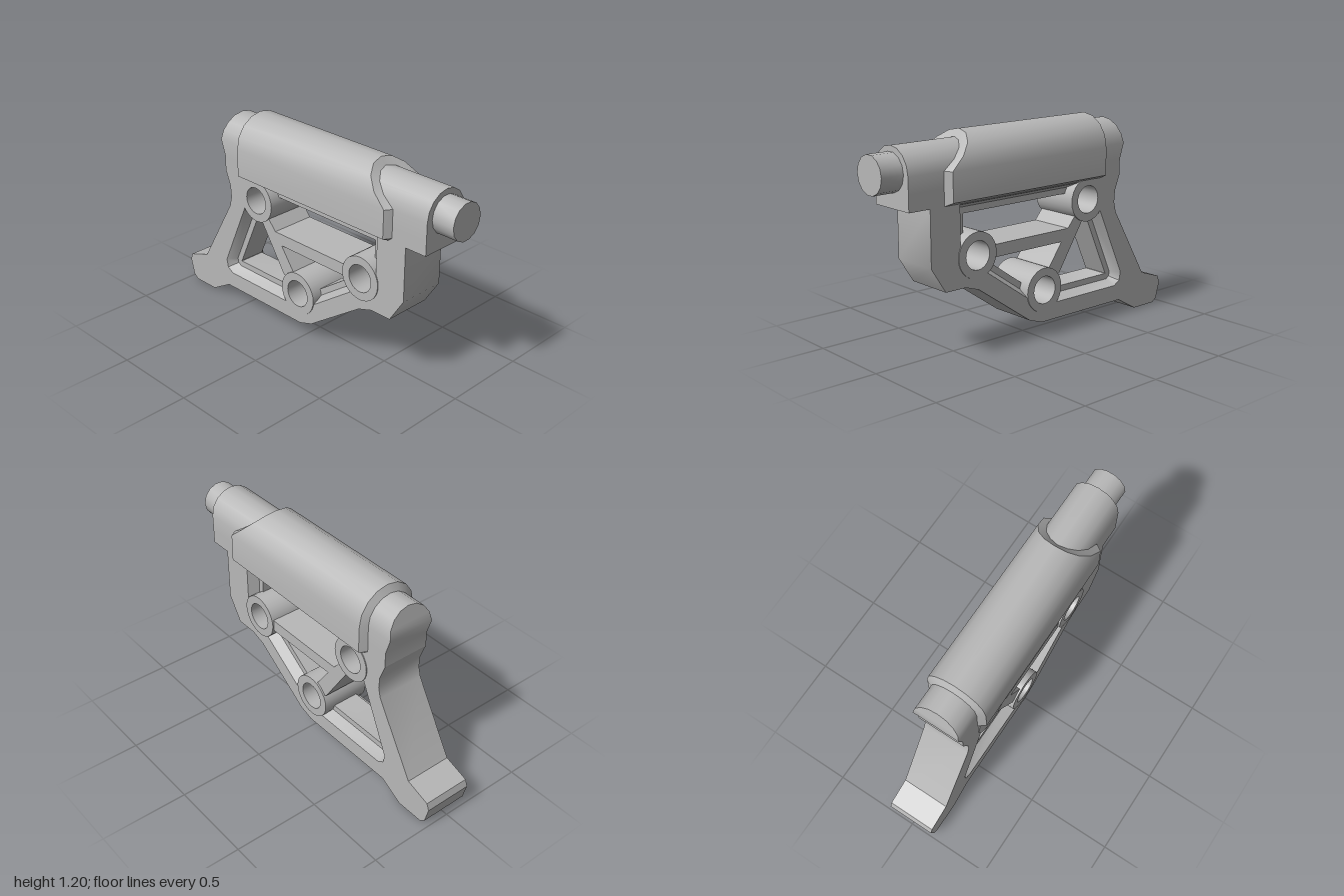
import * as THREE from 'three';
import { toCreasedNormals } from 'three/addons/utils/BufferGeometryUtils.js';

const grey = new THREE.MeshStandardMaterial({ color: 0xb8b8b8, side: THREE.DoubleSide });
grey.name = 'grey';

function addMesh(parent, name, geometry, crease = 0.6) {
  const mesh = new THREE.Mesh(toCreasedNormals(geometry, crease), grey);
  mesh.name = name;
  parent.add(mesh);
  return mesh;
}

const toVectors = (pts) => pts.map(([x, y]) => new THREE.Vector2(x, y));

// Extrude a shape symmetrically about z = 0
function slab(shape, half, curveSegments = 14) {
  const geo = new THREE.ExtrudeGeometry(shape, { depth: half * 2, bevelEnabled: false, curveSegments });
  return geo.translate(0, 0, -half);
}

// Skin a row of equal-length rings; optionally close the loop and the two ends
function loft(rings, closed = false, caps = false) {
  const n = rings[0].length;
  const pos = [];
  const index = [];
  rings.forEach((ring) => ring.forEach((p) => pos.push(...p)));
  const quad = (a, b, c, d) => index.push(a, b, c, a, c, d);
  for (let r = 0; r < rings.length - 1; r++) {
    for (let i = 0; i < (closed ? n : n - 1); i++) {
      const j = (i + 1) % n;
      quad(r * n + i, (r + 1) * n + i, (r + 1) * n + j, r * n + j);
    }
  }
  if (caps) {
    const e = (rings.length - 1) * n;
    for (let i = 0; i < (n - 1) / 2; i++) {
      const a = i, b = i + 1, c = n - 2 - i, d = n - 1 - i;
      if (b === c) {
        index.push(a, b, d, e + d, e + b, e + a);
      } else {
        quad(a, b, c, d);
        quad(e + d, e + c, e + b, e + a);
      }
    }
  }
  const geo = new THREE.BufferGeometry();
  geo.setAttribute('position', new THREE.Float32BufferAttribute(pos, 3));
  geo.setIndex(index);
  geo.computeVertexNormals();
  return geo;
}

// Arched ring from half-section levels [x, y, halfWidth], mirrored across z
function archRing(levels) {
  const near = levels.map(([x, y, w]) => [x, y, w]);
  const far = levels.slice(0, -1).reverse().map(([x, y, w]) => [x, y, -w]);
  return [...near, ...far];
}

// [y, halfWidth] of the round top, from springing line to crown
const AXIS_Y = 1.02;
function arch(radius, steps = 4) {
  return Array.from({ length: steps + 1 }, (_, i) => {
    const a = (i / steps) * Math.PI / 2;
    return [AXIS_Y + radius * Math.sin(a), i === steps ? 0 : radius * Math.cos(a)];
  });
}

// Ledge running along a path, inset to its left, with a sloped shoulder
function ledge(path) {
  const pts = toVectors(path);
  const section = [[0, 0.14], [0.03, 0.08], [0.065, 0.08], [0.065, -0.08], [0.03, -0.08], [0, -0.14]];
  const normal = (a, b) => {
    const d = b.clone().sub(a).normalize();
    return new THREE.Vector2(-d.y, d.x);
  };
  const rings = pts.map((p, i) => {
    const n0 = normal(pts[Math.max(i - 1, 0)], pts[Math.max(i, 1)]);
    const last = pts.length - 1;
    const n1 = normal(pts[Math.min(i, last - 1)], pts[Math.min(i + 1, last)]);
    const m = n0.clone().add(n1).divideScalar(1 + n0.dot(n1));
    return section.map(([o, z]) => [p.x + m.x * o, p.y + m.y * o, z]);
  });
  return loft(rings);
}

export function createModel() {
  const group = new THREE.Group();
  group.name = 'shoulderStock';

  // Skeleton frame with one large opening
  const leftPath = [[-0.465, 0.66], [-0.65, 0.25], [-0.64, 0.2], [-0.6, 0.175], [-0.12, 0.175]];
  const lowerPath = [[0.085, 0.24], [0.37, 0.44]];
  const upperPath = [[0.55, 0.63], [0.55, 0.835], [-0.29, 0.835]];
  const outline = new THREE.Shape(toVectors([
    [-0.625, 0.84], [-0.59, 0.75], [-0.585, 0.68], [-0.6, 0.62], [-0.84, 0.21], [-0.985, 0.16],
    [-1, 0.12], [-0.975, 0.025], [-0.945, 0], [-0.78, 0], [-0.64, 0.08], [-0.02, 0.08],
    [0.07, 0.11], [0.43, 0.36], [0.52, 0.39], [0.65, 0.39], [0.74, 0.53], [0.74, 0.84],
  ]));
  outline.holes.push(new THREE.Path(toVectors([
    ...leftPath, [-0.035, 0.165], [0.06, 0.2],
    ...lowerPath, [0.406, 0.456], [0.474, 0.456], [0.527, 0.5], [0.54, 0.55],
    ...upperPath, [-0.382, 0.828], [-0.442, 0.794], [-0.465, 0.73],
  ])));
  addMesh(group, 'frame', slab(outline, 0.14));

  // Recessed ledges around the opening
  addMesh(group, 'leftLedge', ledge(leftPath));
  addMesh(group, 'lowerLedge', ledge(lowerPath));
  addMesh(group, 'upperLedge', ledge(upperPath));

  // Diagonal and horizontal braces
  const braces = new THREE.Shape(toVectors([
    [-0.345, 0.635], [-0.155, 0.34], [-0.115, 0.32], [-0.06, 0.36], [-0.085, 0.395], [-0.17, 0.515],
    [0.355, 0.515], [0.345, 0.585], [-0.22, 0.585], [-0.28, 0.655],
  ]));
  addMesh(group, 'braces', slab(braces, 0.135));

  // Bored bosses
  for (const [x, y] of [[-0.365, 0.73], [0.44, 0.55], [-0.035, 0.265]]) {
    const ring = new THREE.Shape().absarc(0, 0, 0.127, 0, Math.PI * 2);
    ring.holes.push(new THREE.Path().absarc(0, 0, 0.079, 0, Math.PI * 2, true));
    addMesh(group, 'boss', slab(ring, 0.145)).position.set(x, y, 0);
  }

  // Round-topped upper body with a bowed butt end
  const bodySection = [[0.84, 0.14], [0.93, 0.14], ...arch(0.14)];
  const buttX = (y) => (y < 0.93 ? -0.625
    : y < AXIS_Y ? -0.625 - 0.03 * (y - 0.93) / 0.09
      : -0.655 + 0.03 * (y - AXIS_Y) / 0.14);
  addMesh(group, 'upperBody', loft([
    archRing(bodySection.map(([y, w]) => [buttX(y), y, w])),
    archRing(bodySection.map(([y, w]) => [0.87, y, w])),
  ], true, true));

  // Cheek rest wrapped over the body, its front edge swept back at the top
  const inner = [[0.84, 0.14], [0.86, 0.14], ...arch(0.14)];
  const outer = [[0.84, 0.14], [0.86, 0.182], ...arch(0.18)];
  const innerFront = [0.65, 0.65, 0.65, 0.575, 0.52, 0.485, 0.47];
  const outerFront = [0.625, 0.625, 0.625, 0.545, 0.485, 0.45, 0.44];
  addMesh(group, 'cheekRest', loft([
    archRing(inner.map(([y, w]) => [-0.493, y, w])),
    archRing(outer.map(([y, w]) => [-0.47, y, w])),
    archRing(outer.map(([y, w], i) => [outerFront[i], y, w])),
    archRing(inner.map(([y, w], i) => [innerFront[i], y, w])),
  ]), 0.5);

  // Front spigot
  const spigot = new THREE.CylinderGeometry(0.104, 0.104, 0.15, 14).rotateZ(-Math.PI / 2);
  addMesh(group, 'spigot', spigot).position.set(0.925, 1.025, 0);

  return group;
}
